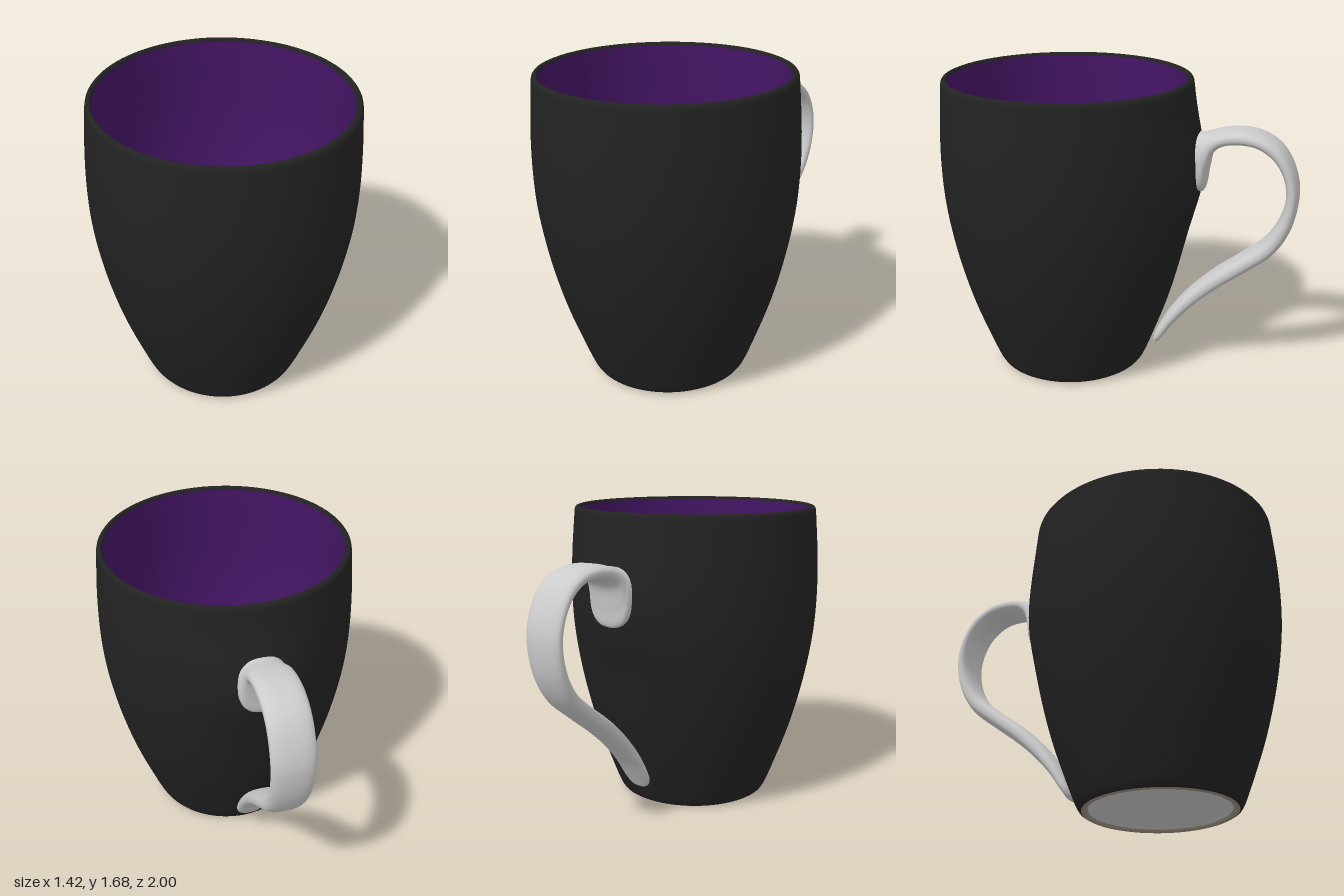
import * as THREE from 'three';
import { mergeVertices } from 'three/addons/utils/BufferGeometryUtils.js';

const CUP_Z = 0.29; // the cup sits forward of the centre, the handle behind

const material = (color) => new THREE.MeshStandardMaterial({ color, side: THREE.DoubleSide });

const spline = (pts, n) => new THREE.CatmullRomCurve3(
  pts.map(([a, b, c = 0]) => new THREE.Vector3(a, b, c)), false, 'centripetal').getPoints(n);

// Revolves a profile and welds its seam
function revolve(name, pts, mat, reshape) {
  let geo = new THREE.LatheGeometry(pts.map(([x, y]) => new THREE.Vector2(x, y)), 96);
  geo.deleteAttribute('uv');
  geo.deleteAttribute('normal');
  if (reshape) reshape(geo.attributes.position);
  geo = mergeVertices(geo, 1e-5);
  geo.computeVertexNormals();
  const mesh = new THREE.Mesh(geo, mat);
  mesh.name = name;
  mesh.position.z = CUP_Z;
  return mesh;
}

// Swells the back of the wall where the handle joins it
function swellBack(pos) {
  for (let i = 0; i < pos.count; i++) {
    const x = pos.getX(i), y = pos.getY(i), z = pos.getZ(i);
    const r = Math.hypot(x, z), angle = Math.atan2(x, -z);
    const bump = 0.055 * Math.exp(-((angle / 0.42) ** 2) - ((y - 1.2) / 0.28) ** 2);
    pos.setX(i, x * (1 + bump / r));
    pos.setZ(i, z * (1 + bump / r));
  }
}

// Lofts oval sections between an outer and an inner edge curve
function buildHandle(sections, mat) {
  const N = 120, M = 32;
  // each section: outer z, outer y, inner z, inner y, half width
  const outer = [], inner = [];
  sections.forEach(([oz, oy, iz, iy, w]) => { outer.push([oz, oy, w]); inner.push([iz, iy, w]); });
  const curve = (pts) => new THREE.CatmullRomCurve3(pts.map((p) => new THREE.Vector3(...p)), false, 'catmullrom', 0.5);
  const co = curve(outer), ci = curve(inner);
  const verts = [], index = [];
  for (let i = 0; i <= N; i++) {
    const o = co.getPoint(i / N), n = ci.getPoint(i / N);
    for (let j = 0; j < M; j++) {
      const a = (j / M) * Math.PI * 2;
      const c = Math.sign(Math.cos(a)) * Math.abs(Math.cos(a)) ** 0.8;
      const s = Math.sign(Math.sin(a)) * Math.abs(Math.sin(a)) ** 0.8;
      verts.push(s * Math.max(o.z, 0.002),
        (o.y + n.y) / 2 + (c * (o.y - n.y)) / 2,
        (o.x + n.x) / 2 + (c * (o.x - n.x)) / 2);
      if (i < N) {
        const p = i * M + j, q = i * M + ((j + 1) % M);
        index.push(p, q, p + M, q, q + M, p + M);
      }
    }
  }
  const geo = new THREE.BufferGeometry();
  geo.setAttribute('position', new THREE.Float32BufferAttribute(verts, 3));
  geo.setIndex(index);
  geo.computeVertexNormals();
  const mesh = new THREE.Mesh(geo, mat);
  mesh.name = 'handle';
  return mesh;
}

export function createModel() {
  const mug = new THREE.Group();
  mug.name = 'mug';
  const black = material(0x222222), purple = material(0x451566), grey = material(0xcccccc);

  // Outer wall and rounded rim
  const wall = spline([[0.425, 0.012], [0.44, 0.035], [0.505, 0.2], [0.575, 0.4], [0.63, 0.6], [0.672, 0.8],
    [0.7, 1.0], [0.71, 1.2], [0.706, 1.4], [0.692, 1.6], [0.687, 1.66]], 70).map((p) => [p.x, p.y]);
  const rim = [[0.684, 1.672], [0.678, 1.68], [0.668, 1.684], [0.662, 1.683], [0.656, 1.678], [0.652, 1.668]];
  mug.add(revolve('outerWall', [[0.413, 0.004], ...wall, ...rim], black, swellBack));

  // Coloured inside with a rounded floor
  const inside = spline([[0.652, 1.668], [0.652, 1.6], [0.656, 1.4], [0.657, 1.2], [0.645, 1.0], [0.617, 0.8],
    [0.575, 0.6], [0.52, 0.4], [0.46, 0.22], [0.43, 0.15], [0.38, 0.105], [0.3, 0.09], [0, 0.09]], 80);
  mug.add(revolve('inside', inside.map((p) => [Math.max(p.x, 0), p.y]), purple));

  // Unglazed foot ring and recessed underside
  mug.add(revolve('footRing', [[0.378, 0.014], [0.384, 0.004], [0.392, 0], [0.405, 0], [0.413, 0.004]], material(0x9a8f80)));
  mug.add(revolve('underside', [[0, 0.02], [0.36, 0.02], [0.378, 0.014]], grey));

  // Handle: flared pad at the top, sweeping loop, tapered rounded tail
  mug.add(buildHandle([
    [-0.41, 1.405, -0.43, 1.1, 0.135],
    [-0.46, 1.412, -0.485, 1.095, 0.13],
    [-0.485, 1.416, -0.502, 1.19, 0.121],
    [-0.525, 1.425, -0.525, 1.3, 0.115],
    [-0.59, 1.441, -0.585, 1.355, 0.115],
    [-0.69, 1.45, -0.69, 1.368, 0.115],
    [-0.80, 1.427, -0.78, 1.35, 0.115],
    [-0.90, 1.36, -0.86, 1.29, 0.115],
    [-0.97, 1.24, -0.912, 1.2, 0.115],
    [-0.998, 1.1, -0.928, 1.08, 0.113],
    [-0.97, 0.92, -0.895, 0.95, 0.11],
    [-0.885, 0.765, -0.82, 0.83, 0.105],
    [-0.75, 0.65, -0.695, 0.725, 0.1],
    [-0.60, 0.535, -0.545, 0.61, 0.095],
    [-0.47, 0.42, -0.415, 0.485, 0.09],
    [-0.36, 0.3, -0.305, 0.345, 0.087],
    [-0.285, 0.195, -0.235, 0.22, 0.082],
    [-0.255, 0.15, -0.215, 0.165, 0.065],
    [-0.24, 0.132, -0.215, 0.14, 0.04],
    [-0.222, 0.126, -0.22, 0.127, 0.002],
  ], grey));
  return mug;
}
